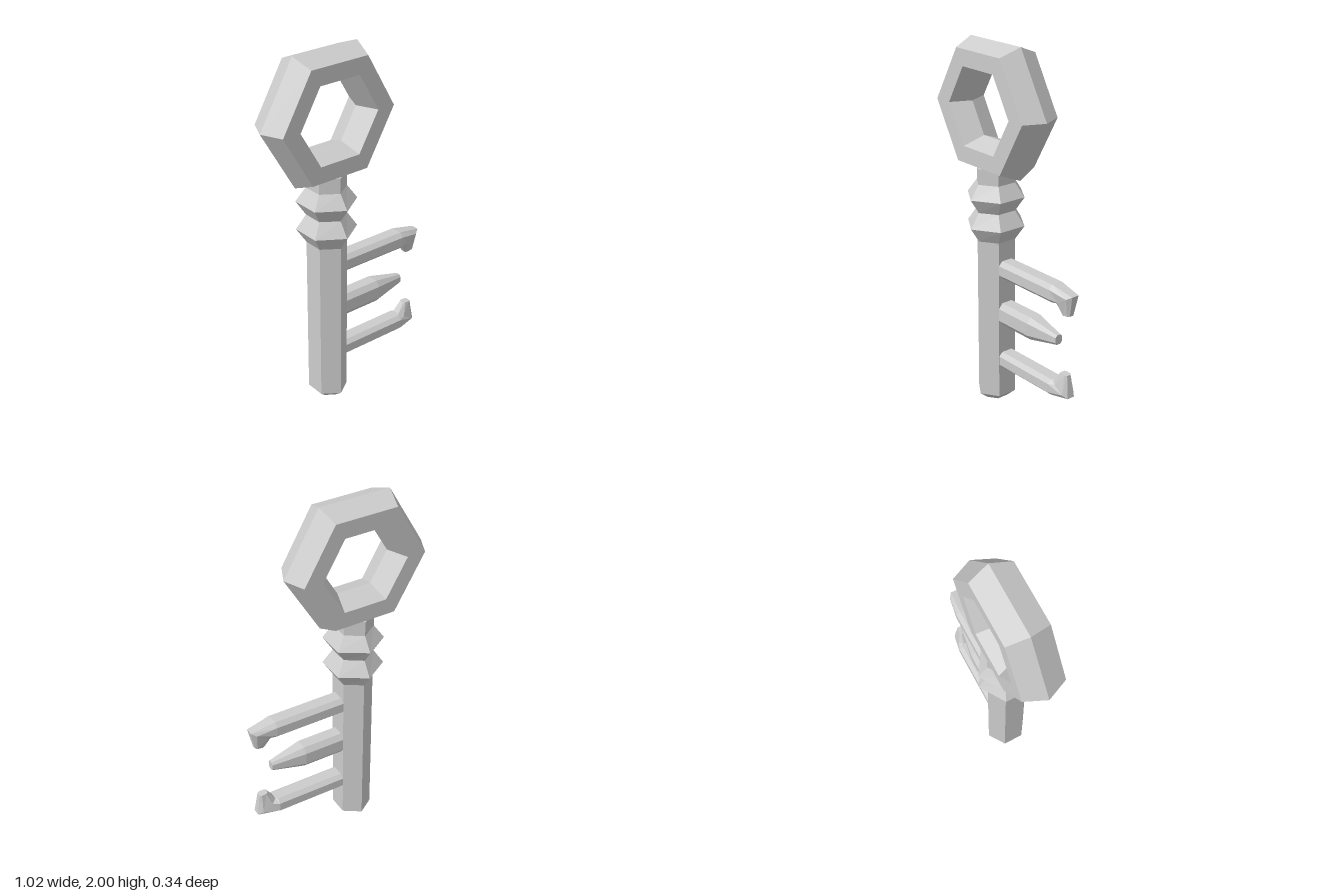
import * as THREE from 'three';

// Skin a list of cross-sections (counter-clockwise about the travel direction) with flat faces.
function loft(rings, closed = false) {
  const out = [];
  const tri = (a, b, c) => out.push(...a, ...b, ...c);
  const n = rings[0].length;
  const spans = closed ? rings.length : rings.length - 1;
  for (let i = 0; i < spans; i++) {
    const r0 = rings[i], r1 = rings[(i + 1) % rings.length];
    for (let j = 0; j < n; j++) {
      const k = (j + 1) % n;
      tri(r0[j], r0[k], r1[k]);
      tri(r0[j], r1[k], r1[j]);
    }
  }
  if (!closed) {
    const s = rings[0], e = rings[rings.length - 1];
    for (let j = 1; j < n - 1; j++) {
      tri(s[0], s[j + 1], s[j]);
      tri(e[0], e[j], e[j + 1]);
    }
  }
  const g = new THREE.BufferGeometry();
  g.setAttribute('position', new THREE.Float32BufferAttribute(out, 3));
  g.computeVertexNormals();
  return g;
}

// Six-sided shaft section at height y, half width hx, half depth hz
const shaftRing = ([y, hx, hz]) => [
  [0, y, hz], [hx, y, hz * 0.48], [hx, y, -hz * 0.48],
  [0, y, -hz], [-hx, y, -hz * 0.48], [-hx, y, hz * 0.48],
];

// Eight-sided tooth section between a bottom and a top point; w = half depth, f = half flat
const toothRing = ([bx, by, tx, ty, w, f]) =>
  [[1, -f], [1, f], [0.77, w], [0.23, w], [0, f], [0, -f], [0.23, -w], [0.77, -w]]
    .map(([t, z]) => [bx + (tx - bx) * t, by + (ty - by) * t, z]);

export function createModel() {
  const group = new THREE.Group();
  const metal = new THREE.MeshStandardMaterial({ color: 0xcccccc });
  metal.name = 'greyMetal';
  const add = (name, geometry, x = 0, y = 0) => {
    const mesh = new THREE.Mesh(geometry, metal);
    mesh.name = name;
    mesh.position.set(x, y, 0);
    group.add(mesh);
  };
  const axisX = -0.115;

  // Hexagonal bow with bevelled rims
  const profile = [[0.242, 0.115], [0.345, 0.115], [0.396, 0], [0.345, -0.115], [0.242, -0.115], [0.192, 0]];
  const bow = [];
  for (let i = 0; i < 6; i++) {
    const a = i * Math.PI / 3;
    bow.push(profile.map(([r, z]) => [r * Math.cos(a), r * Math.sin(a), z]));
  }
  add('bow', loft(bow, true), axisX, 1.656);

  // Shaft with chamfered foot and two collars
  add('shaft', loft([
    [0, 0.05, 0.066], [0.04, 0.09, 0.116], [0.95, 0.09, 0.116],
    [1.03, 0.138, 0.168], [1.11, 0.09, 0.116], [1.19, 0.138, 0.168],
    [1.265, 0.09, 0.116], [1.35, 0.09, 0.116],
  ].map(shaftRing)), axisX);

  // Teeth: hooked down, pointed, hooked up
  const teeth = {
    upperTooth: [
      [-0.04, 0.746, -0.04, 0.844, 0.055, 0.032], [0.373, 0.746, 0.373, 0.844, 0.055, 0.032],
      [0.395, 0.746, 0.51, 0.817, 0.04, 0.022], [0.43, 0.692, 0.485, 0.7, 0.02, 0.012],
    ],
    middleTooth: [
      [-0.04, 0.472, -0.04, 0.6, 0.055, 0.032], [0.205, 0.472, 0.205, 0.6, 0.055, 0.032],
      [0.393, 0.507, 0.393, 0.56, 0.022, 0.012],
    ],
    lowerTooth: [
      [-0.04, 0.216, -0.04, 0.307, 0.055, 0.032], [0.373, 0.216, 0.373, 0.307, 0.055, 0.032],
      [0.493, 0.236, 0.385, 0.307, 0.04, 0.022], [0.475, 0.36, 0.425, 0.363, 0.02, 0.012],
    ],
  };
  for (const [name, rings] of Object.entries(teeth)) add(name, loft(rings.map(toothRing)));

  return group;
}
